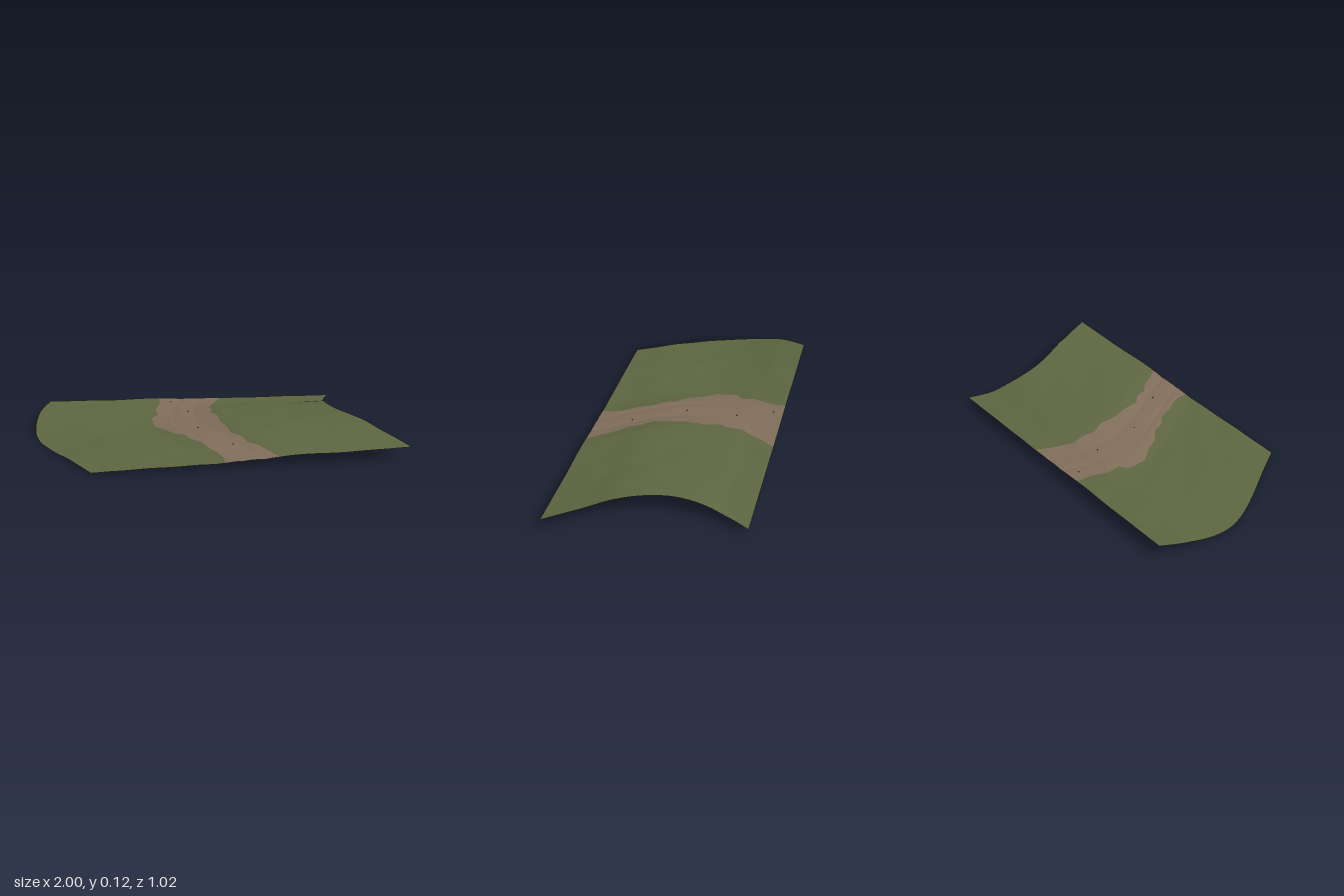
import * as THREE from 'three';

const HALF_DEPTH = 0.512;
const HALF_WIDTH = 0.85;

// Linear or smooth lookup in a short list of [key, value] pairs
function lookup(points, t, smooth = true) {
  const n = points.length;
  let i = 0;
  while (i < n - 2 && t > points[i + 1][0]) i++;
  const [k0, v0] = points[i], [k1, v1] = points[i + 1];
  const f = THREE.MathUtils.clamp((t - k0) / (k1 - k0), 0, 1);
  if (!smooth) return v0 + (v1 - v0) * f;
  const slope = (j) => {
    const a = points[Math.max(j - 1, 0)], b = points[Math.min(j + 1, n - 1)];
    return (b[1] - a[1]) / (b[0] - a[0]);
  };
  const h = k1 - k0, f2 = f * f, f3 = f2 * f;
  return (2 * f3 - 3 * f2 + 1) * v0 + (f3 - 2 * f2 + f) * h * slope(i)
    + (3 * f2 - 2 * f3) * v1 + (f3 - f2) * h * slope(i + 1);
}

// Sideways sweep of the bend, keyed by z
const bend = [[-0.512, -0.07], [-0.4, -0.118], [-0.3, -0.142], [-0.2, -0.15], [-0.1, -0.143],
  [0, -0.117], [0.1, -0.075], [0.2, -0.023], [0.3, 0.033], [0.4, 0.09], [0.512, 0.15]];

// Heights of the two outer edges, keyed by z
const rightSide = [[-0.512, 0.045], [-0.37, 0.06], [-0.3, 0.078], [-0.2, 0.098], [-0.1, 0.111],
  [0, 0.12], [0.1, 0.125], [0.2, 0.122], [0.3, 0.104], [0.4, 0.09], [0.512, 0.073]];
const leftSide = [[-0.512, 0.075], [-0.37, 0.058], [-0.3, 0.043], [-0.2, 0.022], [-0.1, 0.007],
  [0, 0.001], [0.1, 0.004], [0.2, 0.007], [0.3, 0.014], [0.4, 0.012], [0.512, 0.012]];

// How the banking grows away from the middle of the path
const banking = [[0, 0], [0.08, 0.12], [0.2, 0.5], [0.55, 0.66], [0.85, 1]];

// Ragged borders of the path, keyed by z
const pathLeft = [[-0.512, -0.265], [-0.425, -0.27], [-0.32, -0.302], [-0.25, -0.292], [-0.21, -0.334],
  [-0.09, -0.324], [-0.01, -0.265], [0.06, -0.233], [0.12, -0.168], [0.18, -0.152], [0.23, -0.1],
  [0.32, -0.067], [0.39, -0.024], [0.45, -0.003], [0.512, -0.002]];
const pathRight = [[-0.512, 0.11], [-0.425, 0.062], [-0.345, 0.03], [-0.32, 0.013], [-0.24, 0.024],
  [-0.185, 0.008], [-0.105, 0.04], [0, 0.04], [0.08, 0.062], [0.18, 0.073], [0.24, 0.126],
  [0.31, 0.147], [0.36, 0.2], [0.436, 0.243], [0.512, 0.291]];

function heightAt(x, z) {
  const u = x - lookup(bend, z);
  const l = lookup(leftSide, z), r = lookup(rightSide, z);
  const bank = Math.sign(u) * lookup(banking, Math.abs(u), false);
  const away = THREE.MathUtils.smoothstep(Math.abs(u), 0.15, 0.3)
    * (1 - THREE.MathUtils.smoothstep(Math.abs(u), 0.7, 0.85));
  const bumps = 0.002 * Math.sin(u * 17 + z * 6) * Math.sin(z * 19 - u * 5) * away;
  // Two shallow wheel ruts
  const ruts = 0.003 * (Math.exp(-(((u - 0.06) / 0.018) ** 2)) + Math.exp(-(((u + 0.06) / 0.018) ** 2)));
  return (l + r) / 2 + (r - l) / 2 * bank + bumps - ruts;
}

// One smooth sheet: left verge, path and right verge share their border vertices
function buildGround(grass, dirt) {
  const rows = 90, bands = [30, 24, 30];
  const columns = bands[0] + bands[1] + bands[2];
  const positions = [], index = [];
  for (let j = 0; j <= rows; j++) {
    const z = -HALF_DEPTH + 2 * HALF_DEPTH * j / rows;
    const c = lookup(bend, z);
    const borders = [c - HALF_WIDTH, lookup(pathLeft, z, false), lookup(pathRight, z, false), c + HALF_WIDTH];
    bands.forEach((count, b) => {
      for (let i = b ? 1 : 0; i <= count; i++) {
        const x = THREE.MathUtils.lerp(borders[b], borders[b + 1], i / count);
        positions.push(x, heightAt(x, z), z);
      }
    });
  }
  const geometry = new THREE.BufferGeometry();
  let first = 0;
  bands.forEach((count, b) => {
    const start = index.length;
    for (let j = 0; j < rows; j++) {
      for (let i = first; i < first + count; i++) {
        const a = j * (columns + 1) + i, d = a + columns + 1;
        index.push(a, d, a + 1, a + 1, d, d + 1);
      }
    }
    geometry.addGroup(start, index.length - start, b === 1 ? 1 : 0);
    first += count;
  });
  geometry.setAttribute('position', new THREE.Float32BufferAttribute(positions, 3));
  geometry.setIndex(index);
  geometry.computeVertexNormals();
  const mesh = new THREE.Mesh(geometry, [grass, dirt]);
  mesh.name = 'grassVergesAndPath';
  return mesh;
}

export function createModel() {
  const grass = new THREE.MeshStandardMaterial({ color: 0x5d6541, side: THREE.DoubleSide });
  grass.name = 'grass green';
  const dirt = new THREE.MeshStandardMaterial({ color: 0x806e5a, side: THREE.DoubleSide });
  dirt.name = 'dirt brown';
  const stone = new THREE.MeshStandardMaterial({ color: 0x4a4238 });
  stone.name = 'stone grey';

  const group = new THREE.Group();
  group.name = 'windingPath';
  group.add(buildGround(grass, dirt));

  // Tiny pebbles lying on the path
  const pebble = new THREE.IcosahedronGeometry(0.005, 0);
  for (const [x, z] of [[-0.2, -0.45], [-0.115, -0.255], [-0.09, 0.03], [0.07, 0.31]]) {
    const mesh = new THREE.Mesh(pebble, stone);
    mesh.name = 'pebble';
    mesh.position.set(x, heightAt(x, z), z);
    mesh.scale.y = 0.5;
    group.add(mesh);
  }
  return group;
}
